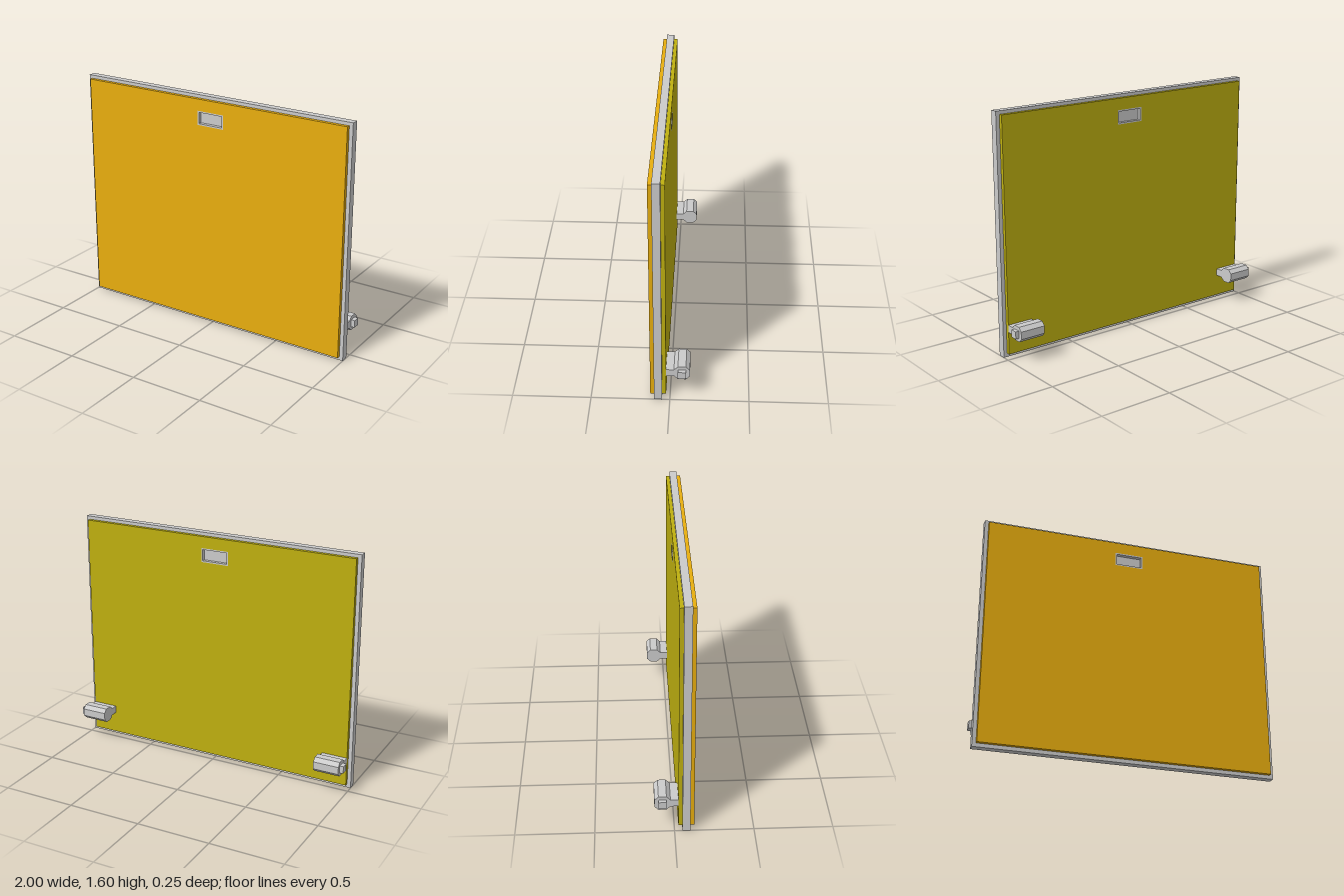
import * as THREE from 'three';

const grey = new THREE.MeshStandardMaterial({ color: 0xcccccc, flatShading: true });
const orange = new THREE.MeshStandardMaterial({ color: 0xe8ae0e, flatShading: true });
const yellow = new THREE.MeshStandardMaterial({ color: 0xbfb010, flatShading: true });

function addMesh(parent, name, geometry, material) {
  const mesh = new THREE.Mesh(geometry, material);
  mesh.name = name;
  parent.add(mesh);
  return mesh;
}

// Box given by its minimum and maximum corners
function boxBetween([x0, y0, z0], [x1, y1, z1]) {
  return new THREE.BoxGeometry(x1 - x0, y1 - y0, z1 - z0)
    .translate((x0 + x1) / 2, (y0 + y1) / 2, (z0 + z1) / 2);
}

function rectangle(Type, halfWidth, y0, y1) {
  return new Type([[-1, y0], [1, y0], [1, y1], [-1, y1]]
    .map(([s, y]) => new THREE.Vector2(s * halfWidth, y)));
}

// Flat plate with a rectangular opening, starting at depth z
function plateWithHole(outer, hole, z, depth) {
  const shape = rectangle(THREE.Shape, ...outer);
  shape.holes.push(rectangle(THREE.Path, ...hole));
  return new THREE.ExtrudeGeometry(shape, { depth, bevelEnabled: false }).translate(0, 0, z);
}

// Hinge on the +x side: chamfered barrel, arm to the panel and square pin
function makeHinge(side) {
  const hinge = new THREE.Group();
  hinge.name = side > 0 ? 'leftHinge' : 'rightHinge';
  const inner = 0.8, outer = 0.975, y = 0.2, z = -0.075, r = 0.05, c = 0.025;
  const profile = new THREE.Shape([
    [r, -c], [r, c], [c, r], [-c, r], [-r, c], [-r, -c], [-c, -r], [c, -r],
  ].map(([a, b]) => new THREE.Vector2(a, b)));
  const barrel = new THREE.ExtrudeGeometry(profile, { depth: outer - inner, bevelEnabled: false })
    .rotateY(Math.PI / 2);
  // The barrel and its parts are placed by offset so both sides share one rule
  barrel.translate(side > 0 ? inner : -outer, y, z);
  addMesh(hinge, 'hingeBarrel', barrel, grey);
  const span = (a, b) => (side > 0 ? [a, b] : [-b, -a]);
  const [a0, a1] = span(inner, outer);
  addMesh(hinge, 'hingeArm', boxBetween([a0, y - c, z + r], [a1, y + c, 0.025]), grey);
  const [p0, p1] = span(outer, 1);
  addMesh(hinge, 'hingePin', boxBetween([p0, y - c, z - c], [p1, y + c, z + c]), grey);
  return hinge;
}

export function createModel() {
  const model = new THREE.Group();
  model.name = 'hingedPanel';

  // Central slab whose edge forms the border
  addMesh(model, 'frame', boxBetween([-1, 0, 0.05], [1, 1.6, 0.1]), grey);

  // Coloured skins on both faces, each with a recessed grip
  const panel = [0.975, 0.025, 1.578];
  const gripOuter = [0.097, 1.405, 1.5];
  const gripInner = [0.087, 1.415, 1.49];
  const faces = [['front', 0.1, orange], ['back', 0.025, yellow]];
  for (const [name, z, material] of faces) {
    addMesh(model, name + 'Panel', plateWithHole(panel, gripOuter, z, 0.025), material);
    addMesh(model, name + 'GripRim', plateWithHole(gripOuter, gripInner, z, 0.025), grey);
  }

  for (const side of [1, -1]) model.add(makeHinge(side));
  return model;
}
